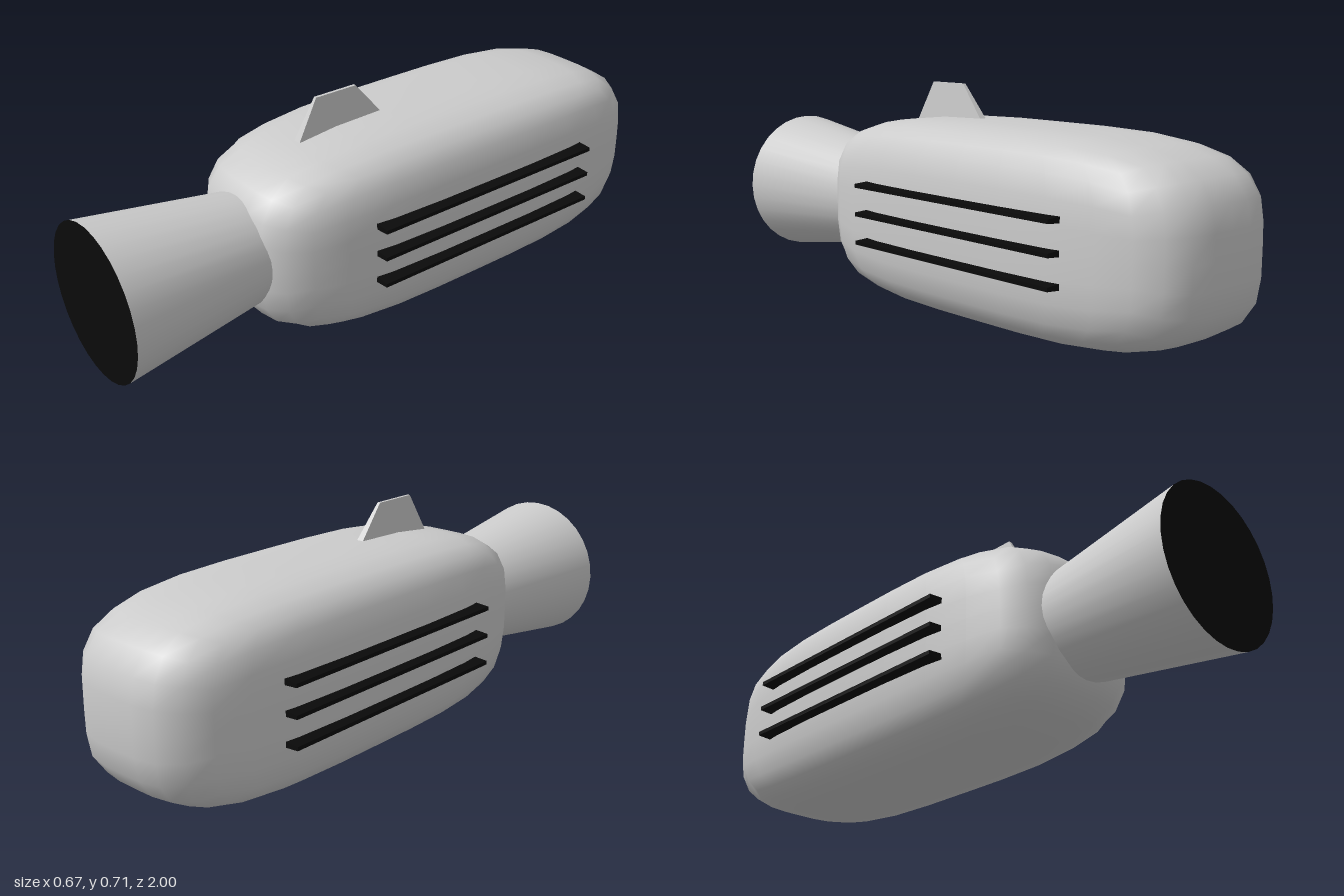
import * as THREE from 'three';
import { mergeVertices } from 'three/addons/utils/BufferGeometryUtils.js';

const grey = new THREE.MeshStandardMaterial({ color: 0xcccccc });
const flatGrey = new THREE.MeshStandardMaterial({ color: 0xcccccc, flatShading: true });
const black = new THREE.MeshStandardMaterial({ color: 0x0a0a0a });

const CENTRE_Y = 0.305;

function part(name, geometry, material, x = 0, y = 0, z = 0) {
  const mesh = new THREE.Mesh(geometry, material);
  mesh.name = name;
  mesh.position.set(x, y, z);
  return mesh;
}

// Move every vertex of a geometry by a rule
function warp(geometry, rule) {
  const pos = geometry.attributes.position;
  const v = new THREE.Vector3();
  for (let i = 0; i < pos.count; i++) {
    rule(v.fromBufferAttribute(pos, i));
    pos.setXYZ(i, v.x, v.y, v.z);
  }
  geometry.computeVertexNormals();
  return geometry;
}

// Subdivided cube pulled onto a soft, boxy superellipsoid
function bodyGeometry(halfX, halfY, halfZ) {
  const n = 3.8;
  let cube = new THREE.BoxGeometry(2, 2, 2, 8, 8, 8);
  cube.deleteAttribute('uv');
  cube.deleteAttribute('normal');
  cube = mergeVertices(cube);
  return warp(cube, (v) => {
    const len = Math.abs(v.x) ** n + Math.abs(v.y) ** n + Math.abs(v.z) ** n;
    v.multiplyScalar(len ** (-1 / n));
    v.set(v.x * halfX, v.y * halfY, v.z * halfZ);
  });
}

// Trapezoid fin, thinner towards its top edge
function finGeometry() {
  const bottom = 0.588, top = 0.715;
  const corners = [[0.296, bottom], [0.225, top], [0.075, top], [-0.032, bottom]];
  const shape = new THREE.Shape(corners.map(([z, y]) => new THREE.Vector2(-z, y)));
  const fin = new THREE.ExtrudeGeometry(shape, { depth: 2, bevelEnabled: false });
  fin.translate(0, 0, -1).rotateY(Math.PI / 2);
  return warp(fin, (v) => {
    v.x *= THREE.MathUtils.mapLinear(v.y, bottom, top, 0.013, 0.005);
  });
}

export function createModel() {
  const group = new THREE.Group();

  group.add(part('body', bodyGeometry(0.303, 0.304, 0.777), grey, 0, CENTRE_Y, -0.223));

  // Flared nozzle with a dark mouth
  const nozzle = new THREE.CylinderGeometry(0.245, 0.172, 0.52, 32, 1, true).rotateX(Math.PI / 2);
  group.add(part('nozzle', nozzle, grey, 0, CENTRE_Y, 0.74));
  group.add(part('nozzleMouth', new THREE.CircleGeometry(0.245, 32), black, 0, CENTRE_Y, 1));

  group.add(part('topFin', finGeometry(), flatGrey));

  // Three tapered ribs along each side
  for (const side of [1, -1]) {
    const ribs = new THREE.Group();
    ribs.name = side > 0 ? 'leftRibs' : 'rightRibs';
    const rib = warp(new THREE.BoxGeometry(0.05, 0.019, 0.87), (v) => {
      if (v.x * side > 0) v.y *= 0.65;
    });
    for (const y of [0.214, 0.306, 0.398]) {
      ribs.add(part('rib', rib, black, side * 0.311, y, -0.215));
    }
    group.add(ribs);
  }

  return group;
}
